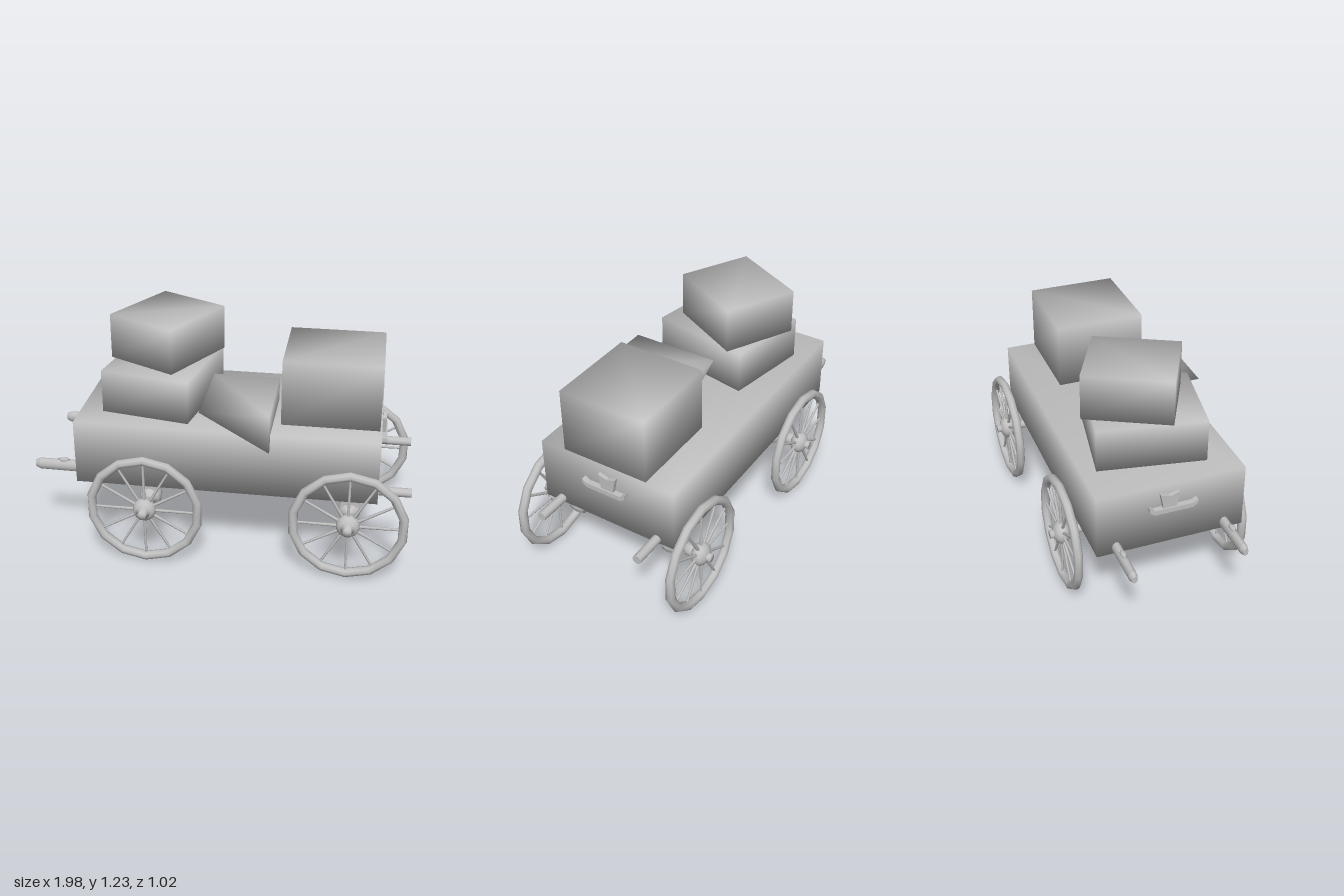
import * as THREE from 'three';
import { mergeVertices } from 'three/addons/utils/BufferGeometryUtils.js';

const wood = new THREE.MeshStandardMaterial({ color: 0xc0c0c0 });
wood.name = 'plain grey';

// Shares corner vertices so shading flows softly around the edges.
function soften(geometry) {
  let g = geometry.clone();
  g.deleteAttribute('uv');
  g.deleteAttribute('normal');
  g = mergeVertices(g, 1e-4);
  g.computeVertexNormals();
  return g;
}

function add(parent, name, geometry, x = 0, y = 0, z = 0) {
  const mesh = new THREE.Mesh(geometry, wood);
  mesh.name = name;
  mesh.position.set(x, y, z);
  parent.add(mesh);
  return mesh;
}

const softBox = (w, h, d) => soften(new THREE.BoxGeometry(w, h, d));

// Prism from an outline, centred on its depth.
function prism(points, depth) {
  const shape = new THREE.Shape(points.map(([x, y]) => new THREE.Vector2(x, y)));
  return new THREE.ExtrudeGeometry(shape, { depth, bevelEnabled: false }).translate(0, 0, -depth / 2);
}

// Round rod along x, possibly tapered.
function rod(parent, name, x0, x1, r0, r1, y, z) {
  const g = new THREE.CylinderGeometry(r1, r0, x1 - x0, 10).rotateZ(-Math.PI / 2);
  return add(parent, name, g, (x0 + x1) / 2, y, z);
}

function makeWheel() {
  const wheel = new THREE.Group();
  wheel.name = 'wheel';
  const rim = add(wheel, 'rim', new THREE.TorusGeometry(0.284, 0.024, 8, 14));
  rim.rotation.z = Math.PI / 14;
  const spoke = new THREE.CylinderGeometry(0.006, 0.009, 0.26, 6).translate(0, 0.15, 0);
  for (let i = 0; i < 12; i++) {
    add(wheel, 'spoke', spoke).rotation.z = (i * Math.PI) / 6;
  }
  const hub = add(wheel, 'hub', new THREE.SphereGeometry(0.062, 12, 8));
  hub.scale.z = 0.75;
  return wheel;
}

// Turned axle: thick beam, bulging collars, thin journals and end caps.
function makeAxle() {
  const half = [
    [0.04, 0.24], [0.054, 0.25], [0.06, 0.285], [0.05, 0.325], [0.024, 0.335],
    [0.024, 0.37], [0.036, 0.375], [0.036, 0.4], [0.036, 0.48], [0.022, 0.485], [0.022, 0.512], [0, 0.512],
  ];
  const profile = [
    ...half.slice().reverse().map(([r, z]) => new THREE.Vector2(r, -z)),
    ...half.map(([r, z]) => new THREE.Vector2(r, z)),
  ];
  return new THREE.LatheGeometry(profile, 12).rotateX(Math.PI / 2);
}

// Step bar with a small cup, facing +x.
function makeEndBracket() {
  const bracket = new THREE.Group();
  bracket.name = 'endBracket';
  const bar = prism([[-0.1, 0.61], [0.1, 0.61], [0.125, 0.63], [0.125, 0.65], [0.1, 0.635], [-0.1, 0.635], [-0.125, 0.65], [-0.125, 0.63]], 0.03);
  add(bracket, 'stepBar', bar.rotateY(Math.PI / 2), 0.015);
  const cup = prism([[-0.035, 0.635], [0.035, 0.635], [0.04, 0.665], [0.05, 0.715], [0, 0.7], [-0.05, 0.715], [-0.04, 0.665]], 0.02);
  add(bracket, 'cup', cup.rotateY(Math.PI / 2), 0.012, 0, -0.018);
  return bracket;
}

export function createModel() {
  const model = new THREE.Group();
  model.name = 'loadedWagon';

  // Wagon bed
  add(model, 'bed', softBox(1.56, 0.343, 0.77), 0.03, 0.583, 0);

  // Running gear
  const axle = makeAxle();
  for (const x of [-0.38, 0.67]) {
    add(model, 'axle', axle, x, 0.305, 0);
    for (const z of [-0.45, 0.44]) {
      const wheel = makeWheel();
      wheel.position.set(x, 0.305, z);
      model.add(wheel);
    }
    for (const z of [-0.283, 0.283]) {
      add(model, 'bolster', new THREE.BoxGeometry(0.08, 0.08, 0.07), x, 0.38, z);
    }
  }

  // Side rails, handles and reach poles under the bed
  for (const z of [-0.285, 0.285]) {
    rod(model, 'reachPole', -0.42, 0.71, 0.022, 0.022, 0.387, z);
    rod(model, 'rearRail', 0.7, 0.98, 0.024, 0.024, 0.434, z);
    rod(model, 'handle', -0.975, -0.6, 0.031, 0.034, 0.445, z).scale.z = 0.7;
    rod(model, 'handleTip', -1, -0.975, 0.02, 0.031, 0.445, z).scale.z = 0.7;
    const peg = add(model, 'handlePeg', new THREE.SphereGeometry(0.035, 6, 4), -0.845, 0.477, z);
    peg.scale.set(1, 0.4, 0.45);
  }

  // Brackets on both ends
  const right = makeEndBracket();
  right.position.x = 0.81;
  const left = makeEndBracket();
  left.position.x = -0.75;
  left.scale.x = -1;
  model.add(right, left);

  // Cargo
  add(model, 'largeCrate', softBox(0.5, 0.345, 0.475), 0.55, 0.927, 0.0125);
  add(model, 'lowerCrate', softBox(0.47, 0.23, 0.55), -0.35, 0.867, 0.005).rotation.y = -0.18;
  add(model, 'upperCrate', softBox(0.4, 0.237, 0.45), -0.335, 1.106, -0.05).rotation.y = -0.48;
  const wedge = soften(prism([[-0.09, 0.877], [0.26, 0.677], [0.26, 0.877]], 0.48));
  add(model, 'wedgeCase', wedge, 0, 0, 0.185);

  return model;
}
